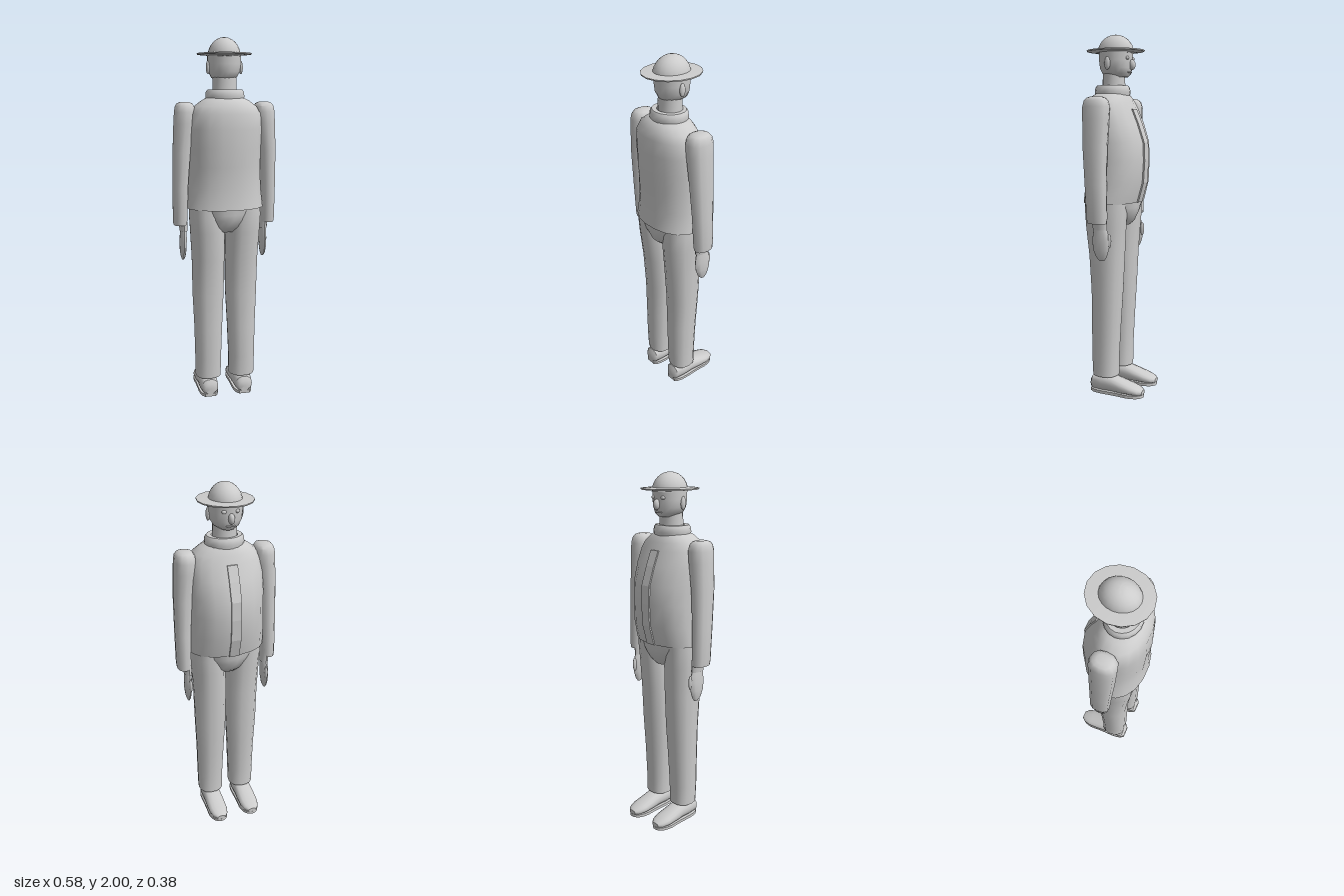
import * as THREE from 'three';
import { toCreasedNormals } from 'three/addons/utils/BufferGeometryUtils.js';

const cloth = new THREE.MeshStandardMaterial({ color: 0xcccccc });
cloth.name = 'plain grey';

// Capped loft through rings [y, centreX, centreZ, radiusX, radiusZ]; power > 2 squares the rings off
function loft(rings, sides = 16, power = 2, crease = 0.8) {
  const pos = [], index = [];
  const soften = (v) => Math.sign(v) * Math.pow(Math.abs(v), 2 / power);
  for (const [y, cx, cz, rx, rz] of rings) {
    for (let j = 0; j < sides; j++) {
      const a = (j / sides) * Math.PI * 2;
      pos.push(cx + rx * soften(Math.cos(a)), y, cz + rz * soften(Math.sin(a)));
    }
  }
  const last = rings.length - 1, bottom = rings.length * sides, top = bottom + 1;
  for (const [y, cx, cz] of [rings[0], rings[last]]) pos.push(cx, y, cz);
  for (let j = 0; j < sides; j++) {
    const k = (j + 1) % sides;
    for (let i = 0; i < last; i++) {
      const a = i * sides + j, b = i * sides + k;
      index.push(a, a + sides, b, b, a + sides, b + sides);
    }
    index.push(bottom, j, k, top, last * sides + k, last * sides + j);
  }
  const g = new THREE.BufferGeometry();
  g.setAttribute('position', new THREE.Float32BufferAttribute(pos, 3));
  g.setIndex(index);
  return toCreasedNormals(g, crease);
}

function ball(rx, ry, rz) {
  return new THREE.SphereGeometry(1, 16, 12).scale(rx, ry, rz);
}

export function createModel() {
  const model = new THREE.Group();
  model.name = 'standing man';
  const add = (name, geometry, parent = model, x = 0, y = 0, z = 0) => {
    const mesh = new THREE.Mesh(geometry, cloth);
    mesh.name = name;
    mesh.position.set(x, y, z);
    parent.add(mesh);
    return mesh;
  };

  // Jacket body: [y, half width, front z, back z]
  const profile = [
    [1.09, 0.216, -0.122, 0.186], [1.2, 0.207, -0.153, 0.175], [1.32, 0.203, -0.16, 0.181],
    [1.42, 0.204, -0.156, 0.186], [1.52, 0.205, -0.122, 0.185], [1.6, 0.196, -0.088, 0.18],
    [1.64, 0.172, -0.07, 0.166], [1.67, 0.13, -0.055, 0.146], [1.695, 0.08, -0.035, 0.115],
  ];
  add('jacket', loft(profile.map(([y, w, f, b]) => [y, 0, (f + b) / 2, w, (b - f) / 2]), 18, 2.15));

  // Raised strip down the jacket front
  const stripRows = profile.slice(0, 6);
  const strip = new THREE.Shape([
    ...stripRows.map(([y, , f]) => new THREE.Vector2(f - 0.006, y)),
    ...stripRows.map(([y, , f]) => new THREE.Vector2(f + 0.02, y)).reverse(),
  ]);
  add('jacketStrip', new THREE.ExtrudeGeometry(strip, { depth: 0.056, bevelEnabled: false })
    .rotateY(-Math.PI / 2).translate(0.028, 0, 0));

  // Collar and neck
  add('collar', loft([
    [1.66, 0, 0.04, 0.1, 0.09], [1.69, 0, 0.04, 0.107, 0.097], [1.715, 0, 0.04, 0.104, 0.094],
    [1.727, 0, 0.04, 0.095, 0.085], [1.727, 0, 0.035, 0.07, 0.066], [1.7, 0, 0.035, 0.066, 0.062],
  ], 18));
  add('neck', loft([[1.68, 0, 0.034, 0.067, 0.064], [1.8, 0, 0.032, 0.064, 0.06]]));

  // Head with face
  const head = new THREE.Group();
  head.name = 'head';
  model.add(head);
  add('skull', loft([
    [1.772, 0, 0.01, 0.04, 0.06], [1.79, 0, 0.015, 0.068, 0.08], [1.82, 0, 0.019, 0.085, 0.09],
    [1.86, 0, 0.02, 0.091, 0.093], [1.915, 0, 0.02, 0.09, 0.096],
  ], 18), head);
  add('nose', ball(0.017, 0.028, 0.02), head, 0, 1.837, -0.076);
  add('mouth', ball(0.026, 0.005, 0.01), head, 0, 1.797, -0.062);
  for (const s of [-1, 1]) {
    add('eye', ball(0.013, 0.01, 0.01), head, s * 0.035, 1.872, -0.064);
    add('ear', ball(0.011, 0.035, 0.017), head, s * 0.09, 1.843, 0.03);
  }

  // Hat: thin brim and domed crown
  const hat = new THREE.Group();
  hat.name = 'hat';
  model.add(hat);
  add('brim', loft([
    [1.905, 0, 0.022, 0.09, 0.1], [1.91, 0, 0.022, 0.147, 0.16],
    [1.917, 0, 0.022, 0.148, 0.162], [1.921, 0, 0.022, 0.088, 0.103],
  ], 16), hat);
  const crown = [];
  for (let i = 0; i <= 7; i++) {
    const a = (i / 7) * 1.5;
    crown.push([1.9 + 0.1 * Math.sin(a), 0, 0.022, 0.088 * Math.cos(a), 0.103 * Math.cos(a)]);
  }
  add('crown', loft(crown, 20), hat);

  // Hips
  add('hips', loft([
    [0.96, 0, 0.03, 0.075, 0.09], [0.985, 0, 0.03, 0.1, 0.118], [1.03, 0, 0.03, 0.14, 0.138],
    [1.06, 0, 0.028, 0.165, 0.144], [1.12, 0, 0.028, 0.195, 0.146],
  ], 18));

  for (const s of [1, -1]) {
    const side = s > 0 ? 'left' : 'right';

    // Trouser leg
    add(side + 'Leg', loft([
      [0.105, s * 0.098, 0.036, 0.073, 0.074], [0.22, s * 0.098, 0.038, 0.075, 0.077],
      [0.4, s * 0.096, 0.034, 0.08, 0.082], [0.6, s * 0.095, 0.028, 0.089, 0.088],
      [0.8, s * 0.095, 0.03, 0.092, 0.1], [0.96, s * 0.1, 0.034, 0.095, 0.114],
      [1.05, s * 0.105, 0.033, 0.095, 0.12], [1.13, s * 0.105, 0.03, 0.09, 0.118],
    ], 14, 2.3));

    // Sleeve with rounded shoulder
    add(side + 'Sleeve', loft([
      [0.995, s * 0.248, 0.015, 0.037, 0.054], [1.02, s * 0.248, 0.016, 0.04, 0.057],
      [1.2, s * 0.246, 0.023, 0.042, 0.061], [1.4, s * 0.238, 0.03, 0.048, 0.068],
      [1.55, s * 0.224, 0.032, 0.056, 0.072], [1.61, s * 0.22, 0.032, 0.056, 0.074],
      [1.64, s * 0.219, 0.032, 0.052, 0.066], [1.655, s * 0.219, 0.032, 0.042, 0.052],
      [1.662, s * 0.219, 0.032, 0.025, 0.032],
    ], 12, 2.4));

    // Shirt cuff and hand
    add(side + 'Cuff', loft([
      [0.958, s * 0.228, 0.008, 0.022, 0.043], [1.05, s * 0.234, 0.01, 0.026, 0.045],
    ], 12));
    add(side + 'Hand', loft([
      [0.79, s * 0.231, -0.003, 0.006, 0.014], [0.81, s * 0.231, 0, 0.013, 0.032],
      [0.85, s * 0.231, 0.002, 0.018, 0.047], [0.9, s * 0.23, 0.002, 0.019, 0.052],
      [0.94, s * 0.229, 0.004, 0.018, 0.045], [0.97, s * 0.229, 0.007, 0.016, 0.036],
    ], 12));
    add(side + 'Thumb', ball(0.01, 0.04, 0.013), model, s * 0.226, 0.9, -0.044);

    // Shoe upper, lofted from heel to toe, then a flat sole
    add(side + 'Shoe', loft([
      [-0.122, s * 0.1, 0.045, 0.03, 0.03], [-0.108, s * 0.1, 0.054, 0.047, 0.044],
      [-0.05, s * 0.1, 0.058, 0.054, 0.05], [0.01, s * 0.1, 0.056, 0.054, 0.046],
      [0.07, s * 0.1, 0.046, 0.056, 0.038], [0.13, s * 0.1, 0.038, 0.056, 0.028],
      [0.17, s * 0.1, 0.032, 0.045, 0.021], [0.193, s * 0.1, 0.028, 0.024, 0.012],
    ], 14, 2.4).rotateX(-Math.PI / 2));
    const outline = new THREE.Shape();
    outline.moveTo(-0.03, -0.12);
    outline.bezierCurveTo(-0.07, -0.09, -0.045, 0, -0.057, 0.11);
    outline.bezierCurveTo(-0.055, 0.16, -0.035, 0.195, 0, 0.195);
    outline.bezierCurveTo(0.035, 0.195, 0.055, 0.16, 0.057, 0.11);
    outline.bezierCurveTo(0.045, 0, 0.07, -0.09, 0.03, -0.12);
    add(side + 'Sole', new THREE.ExtrudeGeometry(outline, { depth: 0.017, bevelEnabled: false, curveSegments: 6 })
      .rotateX(-Math.PI / 2), model, s * 0.1);
  }
  return model;
}
